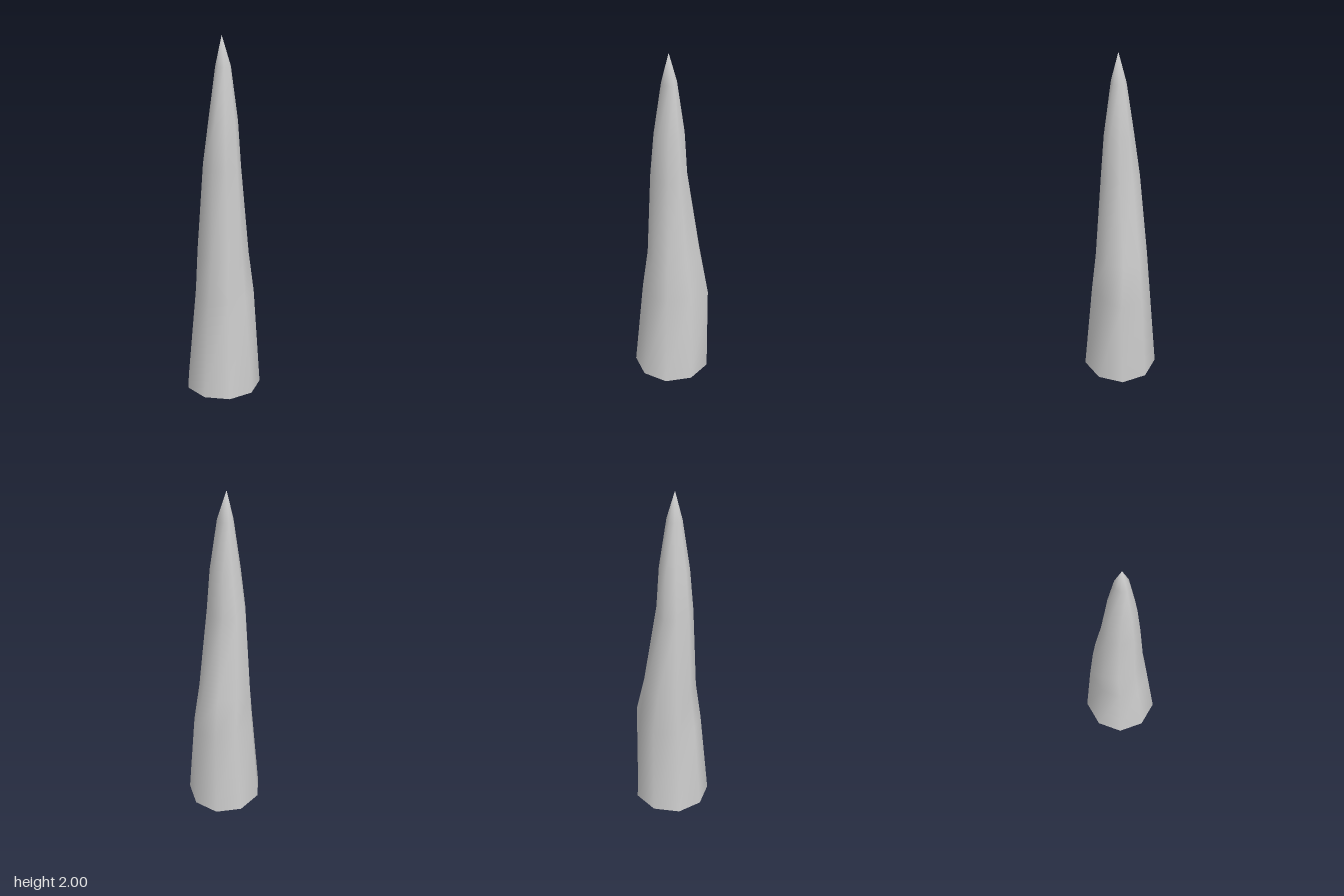
import * as THREE from 'three';

const SIDES = 9;

// Cross-sections: height, left reach (-x), right reach (+x), back reach (-z), front reach (+z)
const RINGS = [
  [0, 0.21, 0.21, 0.21, 0.21],
  [0.56, 0.16, 0.16, 0.205, 0.16],
  [0.8, 0.15, 0.135, 0.158, 0.13],
  [1.3, 0.113, 0.1, 0.085, 0.11],
  [1.55, 0.077, 0.082, 0.07, 0.09],
  [1.84, 0.037, 0.045, 0.03, 0.05],
];

// Nine-sided tapering shell, open at the base and closed to a point
function spikeGeometry() {
  const positions = [];
  const indices = [];
  const backFlat = Math.cos(Math.PI / SIDES); // the back is a flat side, not a corner

  RINGS.forEach(([y, left, right, back, front], r) => {
    for (let k = 0; k < SIDES; k++) {
      const a = (k / SIDES) * Math.PI * 2;
      const s = Math.sin(a);
      const c = Math.cos(a);
      let x = s * (s < 0 ? left : right);
      let z = c * (c < 0 ? back / backFlat : front);
      // the shoulder on the back leans to the left corner
      if (r === 1 && k === 4) x += 0.022;
      if (r === 1 && k === 5) z += 0.018;
      positions.push(x, y, z);
    }
  });
  positions.push(0, 2, 0.012);
  const tip = RINGS.length * SIDES;

  for (let r = 0; r < RINGS.length; r++) {
    for (let k = 0; k < SIDES; k++) {
      const a = r * SIDES + k;
      const b = r * SIDES + ((k + 1) % SIDES);
      if (r === RINGS.length - 1) indices.push(a, b, tip);
      else indices.push(a, b, b + SIDES, a, b + SIDES, a + SIDES);
    }
  }

  const geometry = new THREE.BufferGeometry();
  geometry.setAttribute('position', new THREE.Float32BufferAttribute(positions, 3));
  geometry.setIndex(indices);
  geometry.computeVertexNormals();
  return geometry;
}

export function createModel() {
  const group = new THREE.Group();
  group.name = 'spike';
  const material = new THREE.MeshStandardMaterial({ color: 0xcccccc, side: THREE.DoubleSide });
  const shell = new THREE.Mesh(spikeGeometry(), material);
  shell.name = 'spikeShell';
  group.add(shell);
  return group;
}
